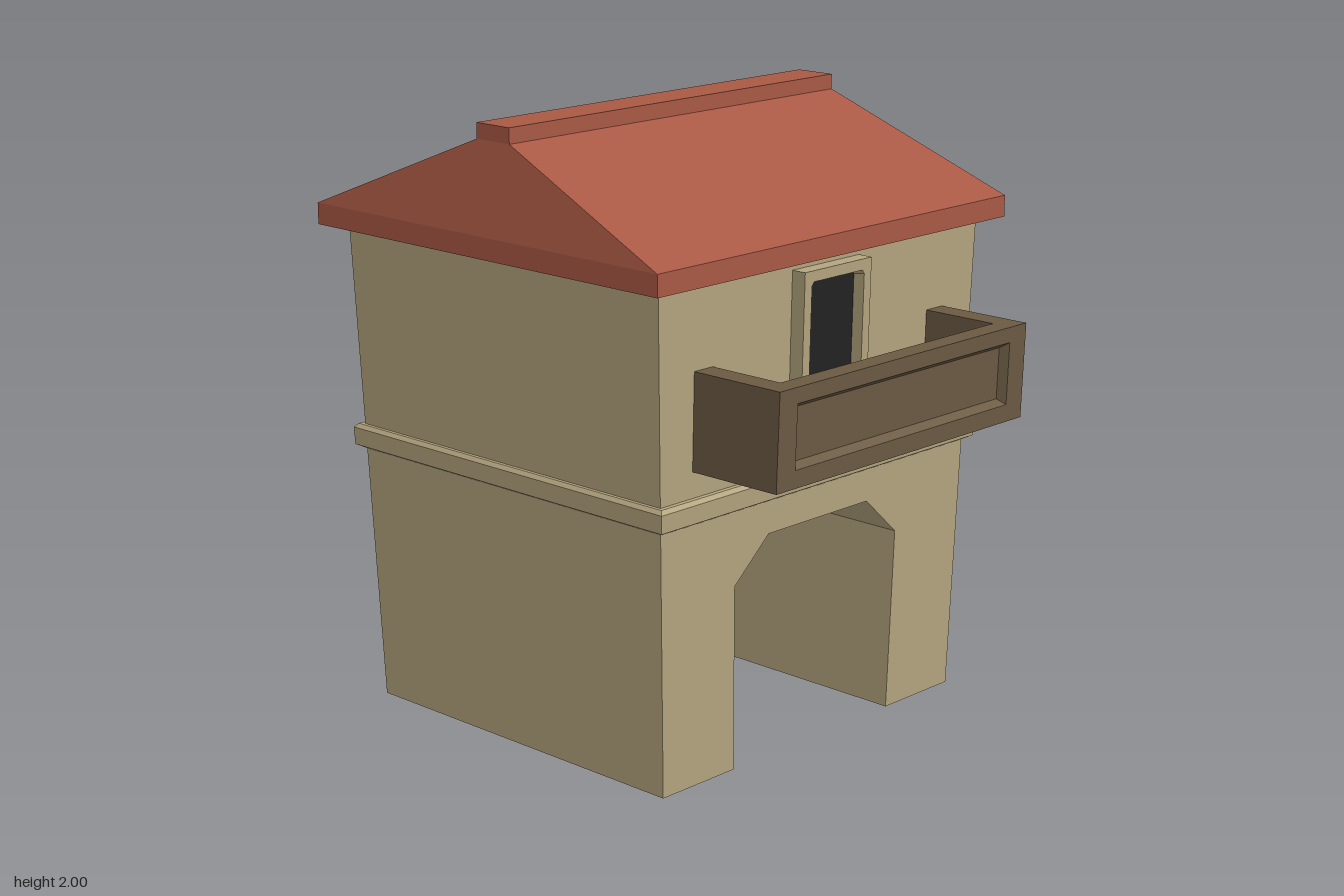
import * as THREE from 'three';

const paint = (name, color) => {
  const m = new THREE.MeshStandardMaterial({ color });
  m.name = name;
  return m;
};

// The walls splay outward as they rise: scale z (and optionally x) with height.
function splay(geo, kx = 0, kz = 0.044) {
  const g = geo.index ? geo.toNonIndexed() : geo;
  const p = g.attributes.position;
  for (let i = 0; i < p.count; i++) {
    const y = p.getY(i);
    p.setX(i, p.getX(i) * (1 + kx * y));
    p.setZ(i, p.getZ(i) * (1 + kz * y));
  }
  g.computeVertexNormals();
  return g;
}

// Closed stack of rectangles, each [y, halfWidth, zBack, zFront].
function loft(levels) {
  const rings = levels.map(([y, x, zb, zf]) => [[-x, y, zf], [x, y, zf], [x, y, zb], [-x, y, zb]]);
  const out = [];
  const quad = (a, b, c, d) => out.push(...a, ...b, ...c, ...a, ...c, ...d);
  for (let r = 0; r < rings.length - 1; r++) {
    const lo = rings[r], hi = rings[r + 1];
    for (let i = 0; i < 4; i++) quad(lo[i], lo[(i + 1) % 4], hi[(i + 1) % 4], hi[i]);
  }
  quad(...rings[rings.length - 1]);
  quad(...[...rings[0]].reverse());
  const g = new THREE.BufferGeometry();
  g.setAttribute('position', new THREE.Float32BufferAttribute(out, 3));
  g.computeVertexNormals();
  return g;
}

const points = (list) => list.map(([x, y]) => new THREE.Vector2(x, y));

// Symmetric outline with chamfered top corners.
const arch = (w, y0, yShoulder, wTop, yTop) =>
  [[-w, y0], [w, y0], [w, yShoulder], [wTop, yTop], [-wTop, yTop], [-w, yShoulder]];
const rect = (w, y0, y1) => [[-w, y0], [w, y0], [w, y1], [-w, y1]];

// Plate with an opening whose sides slope inward toward the back.
function frame(outer, hole, zFront, depth, inset) {
  const shape = new THREE.Shape(points(outer));
  shape.holes.push(new THREE.Path(points(hole)));
  const g = new THREE.ExtrudeGeometry(shape, { depth, bevelEnabled: false });
  g.translate(0, 0, zFront - depth);
  const ys = hole.map((h) => h[1]);
  const cy = (Math.min(...ys) + Math.max(...ys)) / 2;
  const hh = Math.max(...ys) - cy;
  const hw = Math.max(...hole.map((h) => h[0]));
  const p = g.attributes.position;
  for (let i = 0; i < p.count; i++) {
    const x = p.getX(i), y = p.getY(i);
    const onHole = hole.some((h) => Math.abs(h[0] - x) < 1e-5 && Math.abs(h[1] - y) < 1e-5);
    if (onHole && p.getZ(i) < zFront - depth / 2) {
      p.setX(i, x * (1 - inset / hw));
      p.setY(i, cy + (y - cy) * (1 - inset / hh));
    }
  }
  return g;
}

const pane = (outline, z) => new THREE.ShapeGeometry(new THREE.Shape(points(outline))).translate(0, 0, z);

export function createModel() {
  const stone = paint('sandstone', 0xb3a47e);
  const tile = paint('terracotta', 0xa95944);
  const wood = paint('brownWood', 0x6b5a43);
  const dark = paint('darkOpening', 0x222222);

  const model = new THREE.Group();
  model.name = 'gatehouse';
  const add = (name, geo, mat, parent = model) => {
    const mesh = new THREE.Mesh(geo, mat);
    mesh.name = name;
    parent.add(mesh);
    return mesh;
  };
  const group = (name) => {
    const g = new THREE.Group();
    g.name = name;
    model.add(g);
    return g;
  };

  // Walls with the passage running front to back
  const wall = new THREE.Shape(points([
    [-0.685, 0], [-0.37, 0], [-0.372, 0.61], [-0.226, 0.745], [0.226, 0.745],
    [0.372, 0.61], [0.37, 0], [0.685, 0], [0.685, 1.62], [-0.685, 1.62],
  ]));
  const walls = new THREE.ExtrudeGeometry(wall, { depth: 1.29, bevelEnabled: false }).translate(0, 0, -0.765);
  add('walls', splay(walls, 0.0475), stone);

  // Belt course with small chamfers
  add('beltCourse', loft([
    [0.855, 0.715, -0.8, 0.55], [0.867, 0.738, -0.823, 0.573],
    [0.925, 0.74, -0.826, 0.576], [0.937, 0.728, -0.814, 0.563],
  ]), stone);

  // Roof: eaves, slopes and raised ridge
  add('roof', loft([
    [1.6, 0.805, -0.89, 0.625], [1.67, 0.805, -0.89, 0.625],
    [1.95, 0.735, -0.205, -0.06], [2.0, 0.735, -0.205, -0.06],
  ]), tile);

  // Balcony: floor, sides and front wall with a sunken panel
  const balcony = group('balcony');
  const block = (name, w, y0, y1, z0, z1, x = 0) => {
    const g = new THREE.BoxGeometry(w, y1 - y0, z1 - z0).translate(x, (y0 + y1) / 2, (z0 + z1) / 2);
    add(name, splay(g), wood, balcony);
  };
  block('balconyFloor', 1.0, 1.02, 1.1, 0.515, 0.78);
  for (const s of [-1, 1]) block(s > 0 ? 'balconySideLeft' : 'balconySideRight', 0.08, 1.02, 1.33, 0.515, 0.82, s * 0.54);
  block('balconyFront', 1.0, 1.02, 1.33, 0.779, 0.82);
  add('balconyPanelFrame', splay(frame(rect(0.58, 1.02, 1.33), rect(0.5, 1.077, 1.28), 0.845, 0.025, 0.018)), wood, balcony);

  // Balcony door
  const door = group('balconyDoor');
  const doorHole = arch(0.122, 1.1, 1.52, 0.112, 1.532);
  add('doorFrame', splay(frame(rect(0.155, 1.05, 1.567), doorHole, 0.573, 0.053, 0.008)), stone, door);
  add('doorOpening', splay(pane(doorHole, 0.538)), dark, door);

  // Two arched windows at the back
  const windowOuter = arch(0.14, 1.07, 1.395, 0.083, 1.505);
  const windowHole = arch(0.094, 1.125, 1.385, 0.056, 1.458);
  [0.337, -0.303].forEach((x, i) => {
    const win = group(i ? 'backWindowRight' : 'backWindowLeft');
    add('windowFrame', splay(frame(windowOuter, windowHole, 0.838, 0.08, 0.012)), tile, win);
    add('windowOpening', splay(pane(windowHole, 0.79)), dark, win);
    win.rotation.y = Math.PI;
    win.position.x = x;
  });

  return model;
}
